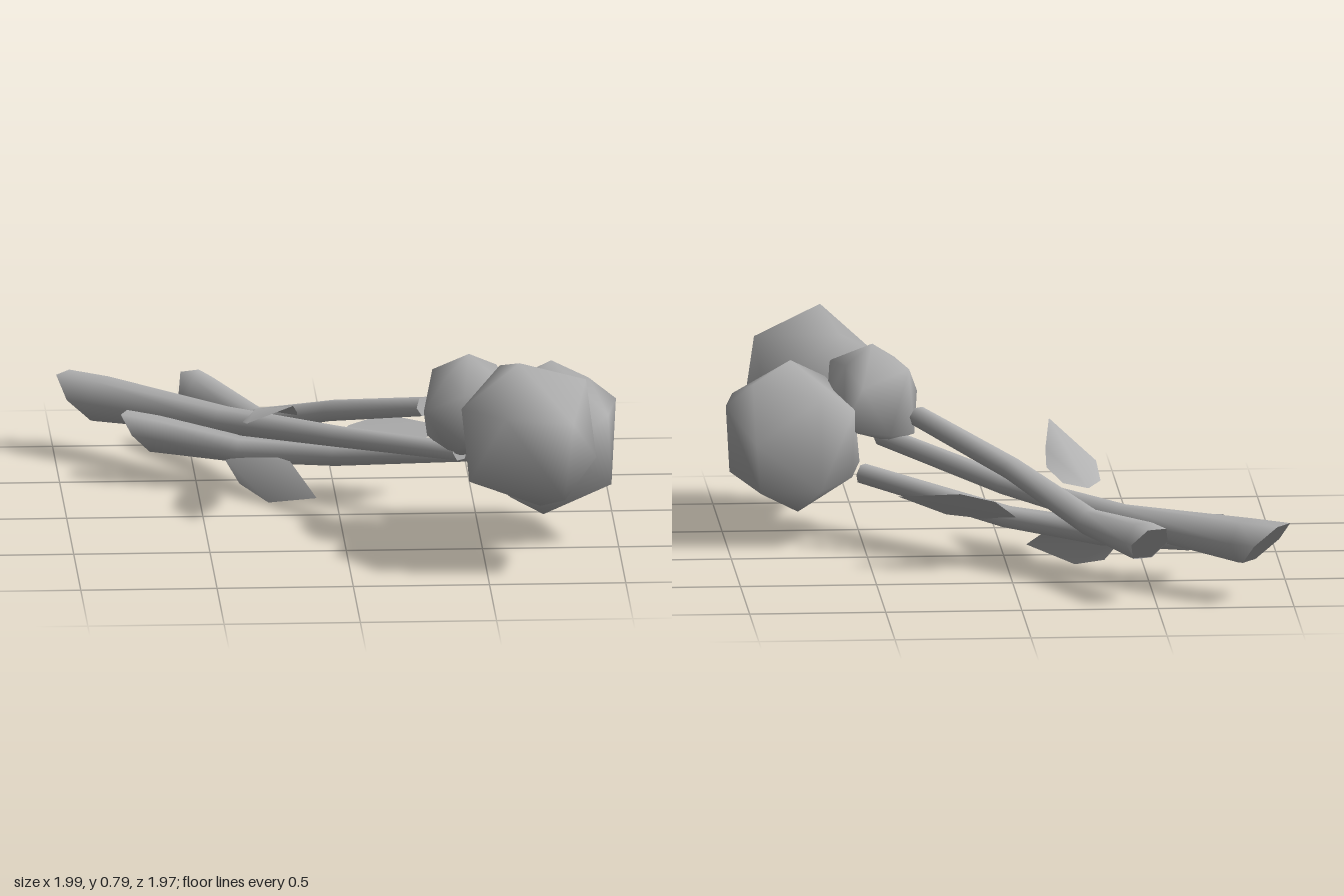
import * as THREE from 'three';
import { mergeVertices } from 'three/addons/utils/BufferGeometryUtils.js';
import { ConvexGeometry } from 'three/addons/geometries/ConvexGeometry.js';

const SIDES = 6;
const vec = (p) => new THREE.Vector3(...p);

// Smooth-shaded faceted bloom: hull around a few corner points
function bloomGeometry(points) {
  const hull = new ConvexGeometry(points.map(vec));
  hull.deleteAttribute('normal');
  const geo = mergeVertices(hull, 1e-4);
  geo.computeVertexNormals();
  return geo;
}

// Tapered stem lofted through [x, y, z, radius] stations, with a slanted cut at its foot
function stemGeometry(stations) {
  const centres = stations.map(([x, y, z]) => new THREE.Vector3(x, y, z));
  const pos = [], index = [], n = stations.length;
  const up = new THREE.Vector3(0, 1, 0);
  centres.forEach((c, i) => {
    const t = centres[Math.min(i + 1, n - 1)].clone().sub(centres[Math.max(i - 1, 0)]).normalize();
    const u = up.clone().cross(t).normalize();
    const v = t.clone().cross(u);
    const r = stations[i][3];
    for (let j = 0; j < SIDES; j++) {
      const a = (j / SIDES) * Math.PI * 2;
      const p = c.clone().addScaledVector(u, r * Math.cos(a)).addScaledVector(v, r * Math.sin(a));
      if (i === 0) p.addScaledVector(t, -r * Math.sin(a));
      pos.push(p.x, p.y, p.z);
    }
  });
  for (let i = 0; i < n - 1; i++) {
    for (let j = 0; j < SIDES; j++) {
      const k = (j + 1) % SIDES;
      const a = i * SIDES + j, b = i * SIDES + k;
      index.push(a, b, b + SIDES, a, b + SIDES, a + SIDES);
    }
  }
  // End caps with their own corners, so the cuts stay crisp
  const base = n * SIDES;
  pos.push(...pos.slice(0, SIDES * 3), ...pos.slice((n - 1) * SIDES * 3, n * SIDES * 3));
  for (let j = 1; j < SIDES - 1; j++) {
    index.push(base, base + j + 1, base + j);
    index.push(base + SIDES, base + SIDES + j, base + SIDES + j + 1);
  }
  const geo = new THREE.BufferGeometry();
  geo.setAttribute('position', new THREE.Float32BufferAttribute(pos, 3));
  geo.setIndex(index);
  geo.computeVertexNormals();
  return geo;
}

// Thin leaf: a fan over its outline
function leafGeometry(outline) {
  const index = [];
  for (let i = 1; i < outline.length - 1; i++) index.push(0, i, i + 1);
  const geo = new THREE.BufferGeometry();
  geo.setAttribute('position', new THREE.Float32BufferAttribute(outline.flat(), 3));
  geo.setIndex(index);
  geo.computeVertexNormals();
  return geo;
}

const BLOOMS = {
  frontBloom: [
    [0.62, 0.785, 0.80], [0.87, 0.69, 0.69], [0.905, 0.41, 0.75], [0.70, 0.22, 0.72],
    [0.43, 0.37, 0.92], [0.41, 0.60, 0.75], [0.81, 0.60, 0.985], [0.56, 0.62, 0.985],
    [0.78, 0.30, 0.94], [0.56, 0.715, 0.57], [0.84, 0.50, 0.55], [0.50, 0.40, 0.56],
    [0.68, 0.30, 0.60],
  ],
  sideBloom: [
    [0.76, 0.67, 0.345], [0.90, 0.40, 0.11], [1.0, 0.51, 0.30], [0.975, 0.23, 0.47],
    [0.73, 0.095, 0.38], [0.54, 0.25, 0.24], [0.53, 0.50, 0.24], [0.62, 0.57, 0.53],
    [0.96, 0.51, 0.535], [0.60, 0.21, 0.56], [0.88, 0.21, 0.15], [0.66, 0.56, 0.14],
    [0.66, 0.22, 0.13], [0.78, 0.38, 0.57], [0.90, 0.59, 0.30], [0.50, 0.27, 0.43],
  ],
  smallBloom: [
    [0.455, 0.715, 0.405], [0.325, 0.635, 0.32], [0.285, 0.52, 0.49], [0.305, 0.39, 0.34],
    [0.39, 0.34, 0.45], [0.43, 0.60, 0.58], [0.60, 0.62, 0.575], [0.625, 0.50, 0.37],
    [0.50, 0.58, 0.24], [0.57, 0.42, 0.27], [0.40, 0.40, 0.25], [0.58, 0.38, 0.53],
    [0.43, 0.42, 0.575], [0.56, 0.65, 0.32], [0.37, 0.65, 0.48],
  ],
};

const STEMS = {
  longStem: [
    [-0.905, 0.22, -0.905, 0.087], [-0.83, 0.22, -0.85, 0.087], [-0.40, 0.235, -0.48, 0.052],
    [0.0, 0.28, -0.06, 0.04], [0.42, 0.36, 0.46, 0.036],
  ],
  steepStem: [
    [-0.475, 0.225, -0.91, 0.074], [-0.455, 0.225, -0.86, 0.075], [-0.28, 0.225, -0.50, 0.05],
    [-0.02, 0.355, -0.15, 0.042], [0.30, 0.475, 0.25, 0.038],
  ],
  lowStem: [
    [-0.71, 0.185, -0.525, 0.07], [-0.65, 0.18, -0.50, 0.07], [-0.34, 0.155, -0.36, 0.05],
    [0.0, 0.18, -0.17, 0.042], [0.51, 0.28, 0.17, 0.038],
  ],
};

const LEAVES = {
  upperLeaf: [
    [-0.29, 0.315, -0.33], [-0.345, 0.31, -0.17], [-0.34, 0.35, 0.0], [-0.18, 0.47, 0.20],
    [-0.155, 0.395, 0.02], [-0.15, 0.35, -0.11], [-0.20, 0.325, -0.28],
  ],
  sideLeaf: [
    [-0.04, 0.18, -0.22], [0.03, 0.165, -0.16], [0.22, 0.185, -0.14],
    [0.40, 0.27, -0.22], [0.18, 0.295, -0.31], [0.05, 0.26, -0.29],
  ],
  lowerLeaf: [
    [-0.41, 0.13, -0.37], [-0.35, 0.04, -0.30], [-0.25, 0.0, -0.18],
    [-0.08, 0.05, -0.05], [-0.17, 0.15, -0.20], [-0.32, 0.16, -0.36],
  ],
};

export function createModel() {
  const grey = new THREE.MeshStandardMaterial({ color: 0xb2b2b2, side: THREE.DoubleSide });
  grey.name = 'plain grey';

  const model = new THREE.Group();
  model.name = 'flowerBunch';
  const addAll = (parts, build) => {
    for (const [name, data] of Object.entries(parts)) {
      const mesh = new THREE.Mesh(build(data), grey);
      mesh.name = name;
      model.add(mesh);
    }
  };
  addAll(BLOOMS, bloomGeometry);
  addAll(STEMS, stemGeometry);
  addAll(LEAVES, leafGeometry);
  return model;
}
